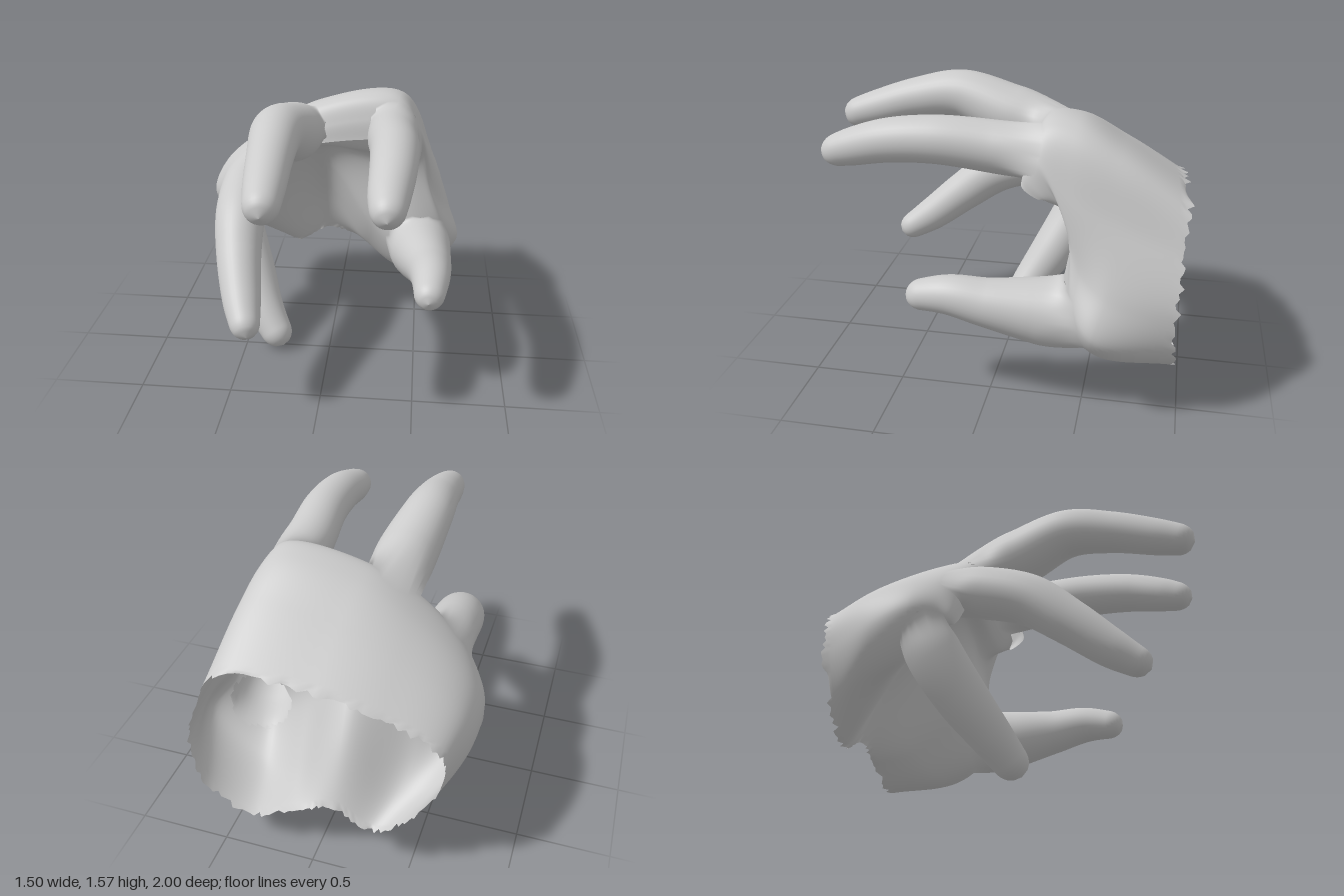
import * as THREE from 'three';

const skin = new THREE.MeshStandardMaterial({ color: 0xcccccc, side: THREE.DoubleSide });

// Loops around the hand: index knuckle, thumb side, palm, little-finger side, back.
const wristLoop = [
  [.45, 1.13, -.98], [.58, .9, -.97], [.66, .62, -.96], [.6, .35, -.96], [.35, .2, -.96],
  [.1, .3, -.95], [-.1, .36, -.94], [-.3, .26, -.93], [-.5, .4, -.92], [-.64, .65, -.91],
  [-.64, .86, -.91], [-.35, 1.03, -.93], [-.02, 1.12, -.95]];
const midLoop = [
  [.42, 1.34, -.65], [.56, 1.02, -.65], [.68, .7, -.62], [.74, .48, -.56], [.42, .25, -.6],
  [.16, .38, -.72], [-.1, .68, -.78], [-.38, .42, -.76], [-.6, .5, -.72], [-.74, .74, -.62],
  [-.68, .95, -.65], [-.36, 1.18, -.65], [-.04, 1.3, -.65]];
const palmLoop = [
  [.38, 1.46, -.42], [.53, 1.15, -.41], [.6, .8, -.47], [.64, .62, -.44], [.45, .44, -.38],
  [.2, .62, -.47], [-.09, .94, -.58], [-.42, .62, -.58], [-.6, .58, -.5], [-.74, .8, -.42],
  [-.67, .99, -.42], [-.39, 1.24, -.42], [-.08, 1.41, -.42]];
const knuckleLoop = [
  [.36, 1.46, -.25], [.48, 1.3, -.24], [.49, 1.12, -.34], [.45, 1.04, -.39], [.36, 1.02, -.41],
  [.2, 1.07, -.4], [-.1, 1.12, -.4], [-.38, .84, -.44], [-.54, .7, -.37], [-.67, .8, -.29],
  [-.62, .98, -.26], [-.39, 1.22, -.23], [-.08, 1.41, -.25]];

// Stations along each finger: x, y, z, radius.
const fingers = {
  thumb: [[.5, .5, -.42, .2], [.535, .53, -.2, .165],
    [.565, .56, 0, .13], [.575, .59, .2, .105], [.565, .56, .43, .075]],
  indexFinger: [[.35, 1.31, -.24, .14], [.34, 1.33, 0, .135], [.36, 1.355, .3, .125],
    [.36, 1.335, .55, .115], [.35, 1.285, .75, .1], [.35, 1.235, .92, .075]],
  middleFinger: [[-.19, 1.29, -.24, .15], [-.2, 1.34, 0, .16], [-.235, 1.43, .3, .135],
    [-.23, 1.4, .55, .115], [-.22, 1.33, .8, .1], [-.21, 1.27, 1, .08]],
  ringFinger: [[-.47, 1.01, -.29, .14], [-.48, .98, -.1, .14], [-.475, .9, .15, .135],
    [-.45, .76, .35, .12], [-.4, .6, .56, .1], [-.345, .49, .74, .07]],
  littleFinger: [[-.61, .76, -.38, .13], [-.585, .62, -.33, .145], [-.49, .39, -.2, .135],
    [-.395, .2, -.07, .11], [-.27, .02, .05, .085]],
};

const toPoints = loop => loop.map(p => new THREE.Vector3(...p));

function fingerPath(stations) {
  const curve = new THREE.CatmullRomCurve3(toPoints(stations));
  const radii = new THREE.SplineCurve(stations.map((s, i) => new THREE.Vector2(i, s[3])));
  return { curve, radiusAt: u => radii.getPoint(curve.getUtoTmapping(u)).y };
}

// Smooth closed skin over rows of points; rows run clockwise around the direction of growth.
function skinRows(rows) {
  const around = rows[0].length, index = [];
  for (let s = 0; s < rows.length - 1; s++) {
    for (let i = 0; i < around; i++) {
      const a = s * around + i, b = s * around + (i + 1) % around;
      index.push(a, a + around, b, b, a + around, b + around);
    }
  }
  const geo = new THREE.BufferGeometry().setFromPoints(rows.flat());
  geo.setIndex(index);
  geo.computeVertexNormals();
  return geo;
}

// Draws the back and palm sides of a loop together to close the front of the hand.
function pinch(loop, amount, forward) {
  return loop.map((p, i) => {
    const mid = p.clone().add(loop[(17 - i) % 13]).multiplyScalar(.5);
    mid.z = Math.max(p.z, mid.z);
    const q = p.clone().lerp(mid, amount);
    q.z += forward;
    return q;
  });
}

// Palm: skin through the loops, open and torn at the wrist.
function palmGeometry() {
  const around = 150, along = 70;
  const knuckles = toPoints(knuckleLoop);
  const loops = [toPoints(wristLoop), toPoints(midLoop), toPoints(palmLoop), knuckles,
    pinch(knuckles, .5, .06), pinch(knuckles, 1, .08)];
  const curves = loops.map(l => new THREE.CatmullRomCurve3(l, true));
  let seed = 7;
  const rand = () => (seed = (seed * 16807) % 2147483647) / 2147483647;
  const columns = Array.from({ length: around }, (_, i) =>
    new THREE.CatmullRomCurve3(curves.map(c => c.getPoint(i / around))).getPoints(along));
  columns.forEach(c => { c[0].z += (rand() - .6) * .04; });
  return skinRows(columns[0].map((_, s) => columns.map(c => c[s])));
}

// Opens the palm where the fingers leave it; returns the palm points that remain.
function openRoots(palm) {
  const balls = Object.values(fingers).flatMap(stations => {
    const { curve, radiusAt } = fingerPath(stations);
    return Array.from({ length: 25 }, (_, i) => ({ c: curve.getPointAt(i / 40), r: radiusAt(i / 40) }));
  });
  const { position, normal } = palm.attributes;
  const remaining = [], hidden = [];
  for (let i = 0; i < position.count; i++) {
    const point = new THREE.Vector3().fromBufferAttribute(position, i);
    hidden[i] = balls.some(b => point.distanceTo(b.c) < b.r - .02);
    if (!hidden[i]) remaining.push({ point, normal: new THREE.Vector3().fromBufferAttribute(normal, i) });
  }
  const old = palm.index.array, index = [];
  for (let k = 0; k < old.length; k += 3) {
    const face = [old[k], old[k + 1], old[k + 2]];
    if (!face.every(v => hidden[v])) index.push(...face);
  }
  palm.setIndex(index);
  return remaining;
}

// Finger: a tapered tube, rounded at the tip, whose root flows into the palm.
function fingerGeometry(stations, palmPoints) {
  const segs = 72, sides = 32, flow = .2;
  const { curve, radiusAt } = fingerPath(stations);
  const length = curve.getLength(), frames = curve.computeFrenetFrames(segs);
  const rows = [];
  for (let i = 0; i <= segs; i++) {
    const u = i / segs, centre = curve.getPointAt(u), left = (1 - u) * length;
    let r = radiusAt(u);
    if (left < r) r *= Math.sqrt(Math.max(1e-4, 1 - (1 - left / r) ** 2));
    rows.push(Array.from({ length: sides }, (_, j) => {
      const a = j / sides * Math.PI * 2;
      return centre.clone().addScaledVector(frames.normals[i], r * Math.cos(a))
        .addScaledVector(frames.binormals[i], -r * Math.sin(a));
    }));
  }
  // Nearest palm point for each point of the root ring
  const anchors = rows[0].map(p => palmPoints.reduce((best, q) =>
    q.point.distanceToSquared(p) < best.point.distanceToSquared(p) ? q : best));
  const shifts = anchors.map((q, j) => q.point.clone().sub(rows[0][j]));
  const weight = i => Math.max(0, 1 - i / (segs * flow)) ** 2;
  rows.forEach((row, i) => row.forEach((p, j) => p.addScaledVector(shifts[j], weight(i))));
  const geo = skinRows(rows), n = new THREE.Vector3();
  for (let k = 0; k < segs * flow * sides; k++) {
    n.fromBufferAttribute(geo.attributes.normal, k);
    n.lerp(anchors[k % sides].normal, weight(Math.floor(k / sides))).normalize();
    geo.attributes.normal.setXYZ(k, n.x, n.y, n.z);
  }
  return geo;
}

export function createModel() {
  const hand = new THREE.Group();
  hand.name = 'hand';
  const add = (name, geometry) => {
    const mesh = new THREE.Mesh(geometry, skin);
    mesh.name = name;
    hand.add(mesh);
  };
  const palm = palmGeometry();
  const palmPoints = openRoots(palm);
  add('palm', palm);
  for (const [name, stations] of Object.entries(fingers)) add(name, fingerGeometry(stations, palmPoints));
  return hand;
}
